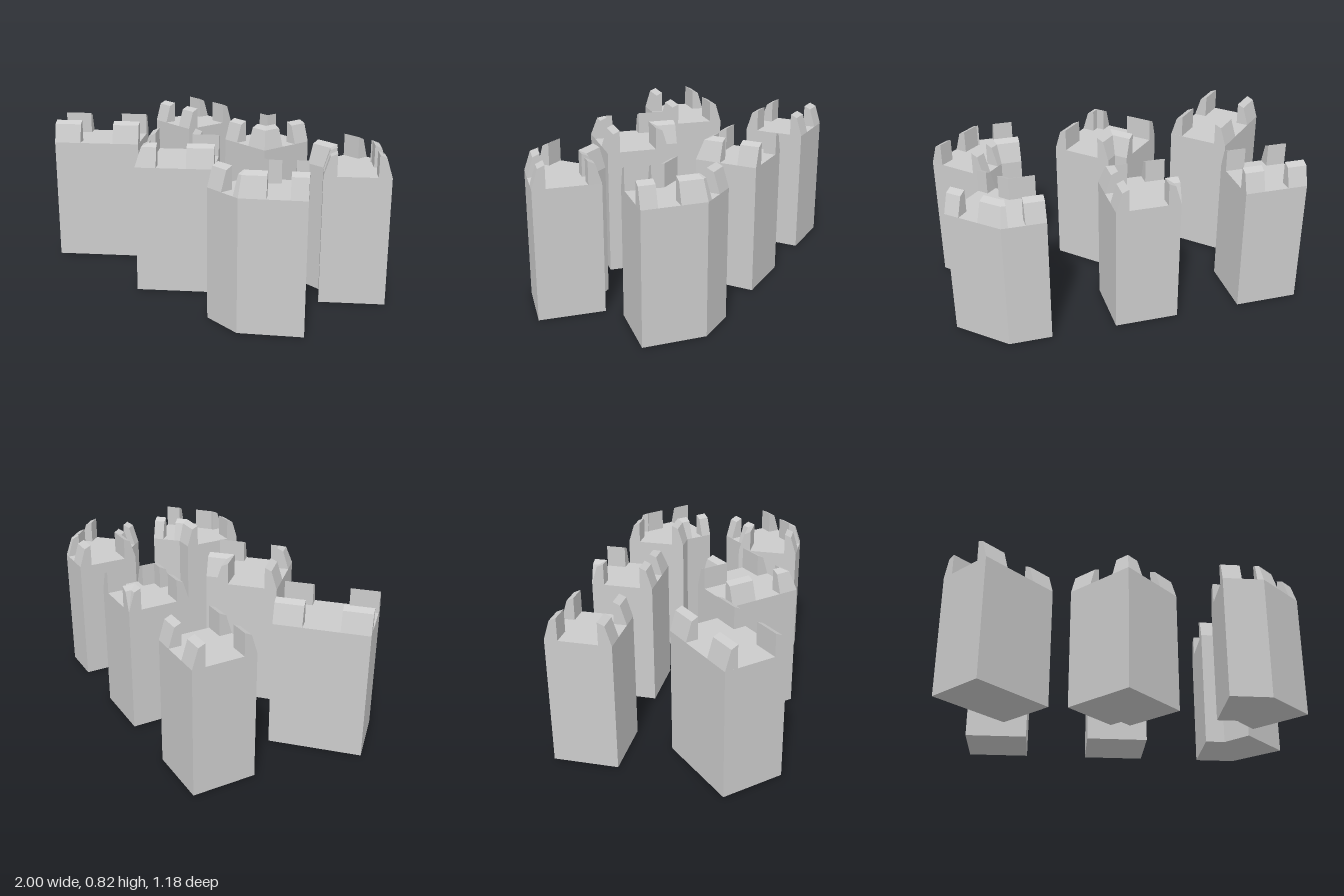
import * as THREE from 'three';

const WALL_TOP = 0.7;
// Battlement cross-section: [inset from the wall edge, height]
const PROFILE = [[0, WALL_TOP], [0.033, 0.805], [0.07, 0.822], [0.07, WALL_TOP]];
const material = new THREE.MeshStandardMaterial({ color: 0xcccccc, flatShading: true });

// Plans are [x, z] points, clockwise seen from above.
// Each parapet has a path along the wall edge and one gap (as fractions) per segment.
const EVEN = [[0.307, 0.693]];
function straight(name, outline) {
  const [a, b, c, d] = outline;
  return { name, outline, parapets: [{ path: [a, b], gaps: EVEN }, { path: [c, d], gaps: EVEN }] };
}

const frontBend = {
  name: 'frontBendWall',
  outline: [[0.524, 0.115], [0.635, 0.115], [0.7525, -0.0075], [1, 0.24], [0.754, 0.465], [0.524, 0.465]],
  parapets: [
    { path: [[1, 0.24], [0.754, 0.465], [0.524, 0.465]], gaps: [[0.255, 0.595], [0.16, 0.535]] },
    { path: [[0.524, 0.115], [0.635, 0.115], [0.7525, -0.0075]], gaps: [null, [0.21, 0.64]] },
  ],
};

// Mirrors a piece front to back, keeping the clockwise order
function mirrorZ(piece, name, sum) {
  const flip = (pts) => pts.map(([x, z]) => [x, sum - z]).reverse();
  return {
    name,
    outline: flip(piece.outline),
    parapets: piece.parapets.map(({ path, gaps }) => ({
      path: flip(path),
      gaps: gaps.map((g) => g && [1 - g[1], 1 - g[0]]).reverse(),
    })),
  };
}

const PIECES = [
  straight('straightWall', [[-0.877, -0.588], [-0.53, -0.588], [-0.53, -0.24], [-0.877, -0.24]]),
  straight('diagonalWall', [[-1, 0.338], [-0.648, -0.012], [-0.403, 0.236], [-0.755, 0.588]]),
  {
    name: 'cornerWall',
    outline: [[-0.174, -0.588], [0.174, -0.588], [0.174, -0.24], [-0.174, -0.24]],
    parapets: [
      { path: [[0.174, -0.588], [0.174, -0.24], [-0.174, -0.24]], gaps: [[0.307, 0.595], [0.405, 0.693]] },
      // small post on the inside of the turn
      { path: [[-0.175, -0.588], [-0.174, -0.588], [-0.174, -0.589]], gaps: [null, null] },
    ],
  },
  {
    name: 'diagonalCornerWall',
    outline: [[-0.3, 0.238], [-0.054, -0.008], [0, 0.046], [0.054, -0.008], [0.3, 0.238], [0, 0.538]],
    parapets: [
      { path: [[0.3, 0.238], [0, 0.538], [-0.3, 0.238]], gaps: [[0.35, 0.73], [0.27, 0.65]] },
      { path: [[-0.054, -0.008], [0, 0.046], [0.054, -0.008]], gaps: [null, null] },
    ],
  },
  frontBend,
  mirrorZ(frontBend, 'backBendWall', -0.123),
];

// Solid wall block from its plan
function blockGeometry(outline) {
  const shape = new THREE.Shape(outline.map(([x, z]) => new THREE.Vector2(x, -z)));
  return new THREE.ExtrudeGeometry(shape, { depth: WALL_TOP, bevelEnabled: false }).rotateX(-Math.PI / 2);
}

// One merlon: the profile swept along a short path with mitred bends
function merlonGeometry(path) {
  const normals = path.slice(1).map(([x, z], i) => {
    const dx = x - path[i][0], dz = z - path[i][1], l = Math.hypot(dx, dz);
    return [-dz / l, dx / l];
  });
  const sections = path.map(([x, z], i) => {
    const a = normals[Math.max(i - 1, 0)], b = normals[Math.min(i, normals.length - 1)];
    const k = 1 + a[0] * b[0] + a[1] * b[1];
    const mx = (a[0] + b[0]) / k, mz = (a[1] + b[1]) / k;
    return PROFILE.map(([inset, y]) => [x + mx * inset, y, z + mz * inset]);
  });
  const pos = [];
  const quad = (a, b, c, d) => pos.push(...a, ...b, ...c, ...a, ...c, ...d);
  for (let i = 0; i < sections.length - 1; i++) {
    const s = sections[i], t = sections[i + 1];
    for (let j = 0; j < 3; j++) quad(s[j], s[j + 1], t[j + 1], t[j]);
  }
  quad(...[...sections[0]].reverse());
  quad(...sections[sections.length - 1]);
  const geo = new THREE.BufferGeometry();
  geo.setAttribute('position', new THREE.Float32BufferAttribute(pos, 3));
  geo.computeVertexNormals();
  return geo;
}

// Splits a parapet path at its gaps into the runs between them
function merlonPaths({ path, gaps }) {
  const runs = [];
  let run = [path[0]];
  gaps.forEach((gap, i) => {
    const a = path[i], b = path[i + 1];
    const at = (t) => [a[0] + (b[0] - a[0]) * t, a[1] + (b[1] - a[1]) * t];
    if (gap) {
      runs.push([...run, at(gap[0])]);
      run = [at(gap[1])];
    }
    run.push(b);
  });
  return [...runs, run];
}

export function createModel() {
  const model = new THREE.Group();
  model.name = 'castleWallPieces';
  for (const { name, outline, parapets } of PIECES) {
    const piece = new THREE.Group();
    piece.name = name;
    const add = (geo, part) => {
      const mesh = new THREE.Mesh(geo, material);
      mesh.name = part;
      piece.add(mesh);
    };
    add(blockGeometry(outline), 'wallBlock');
    parapets.flatMap(merlonPaths).forEach((run) => add(merlonGeometry(run), 'merlon'));
    model.add(piece);
  }
  return model;
}
